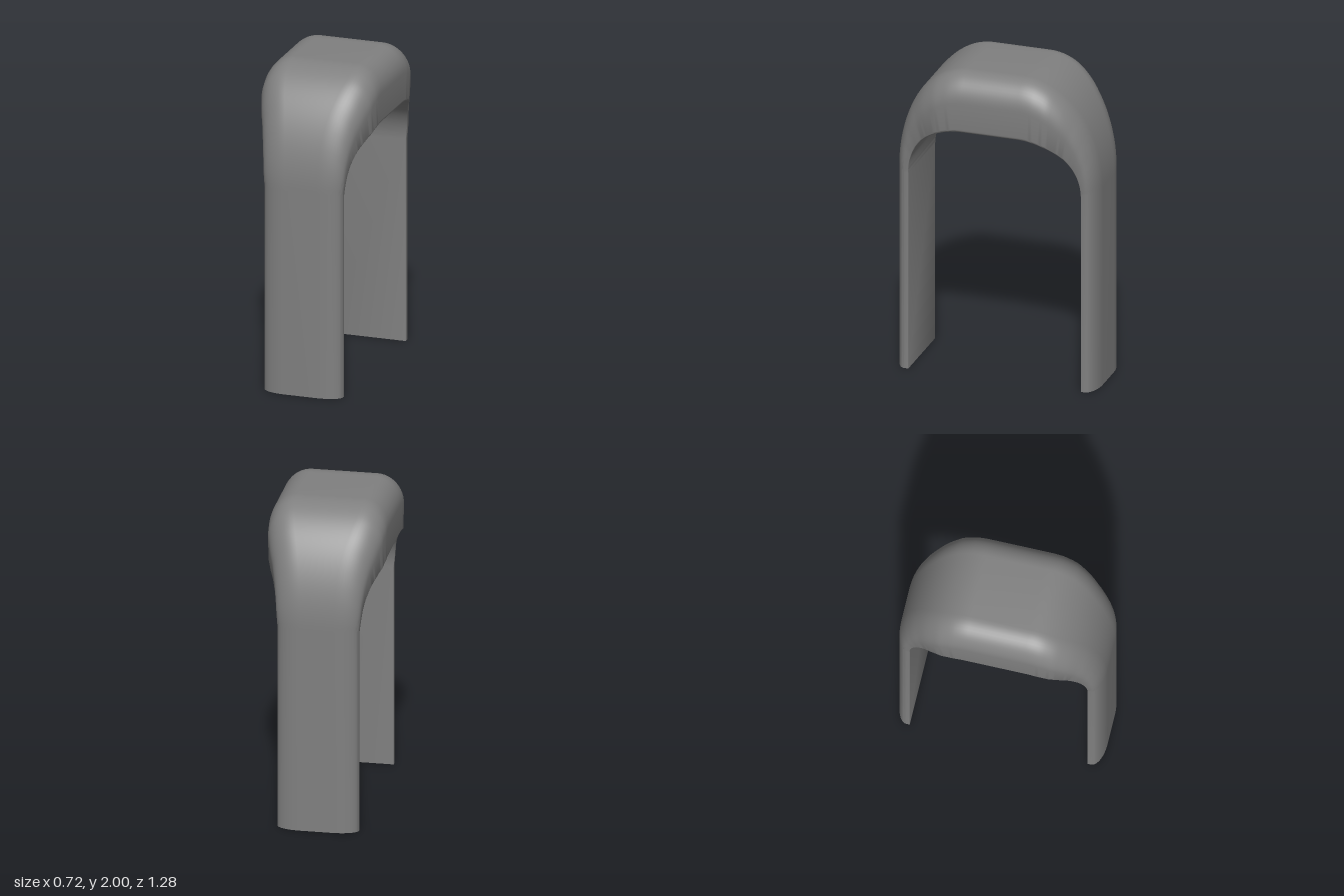
import * as THREE from 'three';
import { toCreasedNormals } from 'three/addons/utils/BufferGeometryUtils.js';

const HALF_PI = Math.PI / 2;

// half-width of the band against arch angle in degrees (0 = leg, 90 = crown)
const WIDTHS = [[0, 0.25], [20, 0.265], [30, 0.277], [43, 0.3], [53, 0.325], [66, 0.352], [78, 0.36], [90, 0.36]];

function halfWidth(t) {
  const d = THREE.MathUtils.radToDeg(t);
  let i = 0;
  while (i < WIDTHS.length - 2 && d > WIDTHS[i + 1][0]) i++;
  const [d0, w0] = WIDTHS[i], [d1, w1] = WIDTHS[i + 1];
  return w0 + (w1 - w0) * (d - d0) / (d1 - d0);
}

// Closed cross-section as [x, v] pairs: v = 0 on the inner face, 1 on the outer face
function section(t) {
  const k = Math.sin(t), w = halfWidth(t);
  const bevel = 0.003 + 0.012 * k, bevelV = 0.03 + 0.02 * k;
  const round = 0.15 + 0.01 * k, start = 0.25 + 0.27 * k;
  const half = [];
  for (let i = 0; i <= 4; i++) {
    const a = i / 4 * HALF_PI;
    half.push([w - bevel + bevel * Math.sin(a), bevelV * (1 - Math.cos(a))]);
  }
  for (let i = 0; i <= 12; i++) {
    const a = i / 12 * HALF_PI;
    half.push([w - round + round * Math.cos(a), start + (1 - start) * Math.sin(a)]);
  }
  return [...half, ...half.slice().reverse().map(([x, v]) => [-x, v])];
}

// Sweep the section up one leg, over the crown and down the other leg
function archGeometry() {
  const stations = [{ t: 0, inner: [0.55, 0], outer: [0.64, 0] }];
  const steps = 36;
  for (let i = 0; i <= steps; i++) {
    const t = i / steps * HALF_PI, c = Math.cos(t), s = Math.sin(t);
    stations.push({
      t,
      inner: [0.18 + 0.37 * c, 1.28 + 0.36 * s],
      outer: [0.18 + 0.46 * c, 1.3 + 0.7 * s],
    });
  }
  const mirrored = stations.slice().reverse().map(({ t, inner, outer }) => ({
    t, inner: [-inner[0], inner[1]], outer: [-outer[0], outer[1]],
  }));
  const all = [...stations, ...mirrored];

  const positions = [], index = [];
  for (const { t, inner, outer } of all) {
    for (const [x, v] of section(t)) {
      positions.push(x, inner[1] + (outer[1] - inner[1]) * v, inner[0] + (outer[0] - inner[0]) * v);
    }
  }
  const n = section(0).length;
  for (let i = 0; i < all.length - 1; i++) {
    for (let j = 0; j < n; j++) {
      const a = i * n + j, b = i * n + (j + 1) % n;
      index.push(a, a + n, b, b, a + n, b + n);
    }
  }
  // feet
  const last = (all.length - 1) * n;
  for (let j = 1; j < n - 1; j++) {
    index.push(0, j, j + 1);
    index.push(last, last + j + 1, last + j);
  }
  const geometry = new THREE.BufferGeometry();
  geometry.setAttribute('position', new THREE.Float32BufferAttribute(positions, 3));
  geometry.setIndex(index);
  return toCreasedNormals(geometry, THREE.MathUtils.degToRad(40));
}

// Thin rounded panel lying flat
function panelGeometry(hx, hz, r, depth) {
  const s = new THREE.Shape();
  s.absarc(hx - r, hz - r, r, 0, HALF_PI);
  s.absarc(-hx + r, hz - r, r, HALF_PI, Math.PI);
  s.absarc(-hx + r, -hz + r, r, Math.PI, 3 * HALF_PI);
  s.absarc(hx - r, -hz + r, r, 3 * HALF_PI, 4 * HALF_PI);
  s.closePath();
  return new THREE.ExtrudeGeometry(s, { depth, bevelEnabled: false, curveSegments: 10 }).rotateX(-HALF_PI);
}

export function createModel() {
  const group = new THREE.Group();
  group.name = 'archedBand';
  const grey = new THREE.MeshStandardMaterial({ color: 0x808080 });
  grey.name = 'grey';

  const arch = new THREE.Mesh(archGeometry(), grey);
  arch.name = 'arch';

  // panel under the crown
  const panel = new THREE.Mesh(panelGeometry(0.29, 0.22, 0.06, 0.008), grey);
  panel.name = 'undersidePanel';
  panel.position.y = 1.634;

  group.add(arch, panel);
  return group;
}
